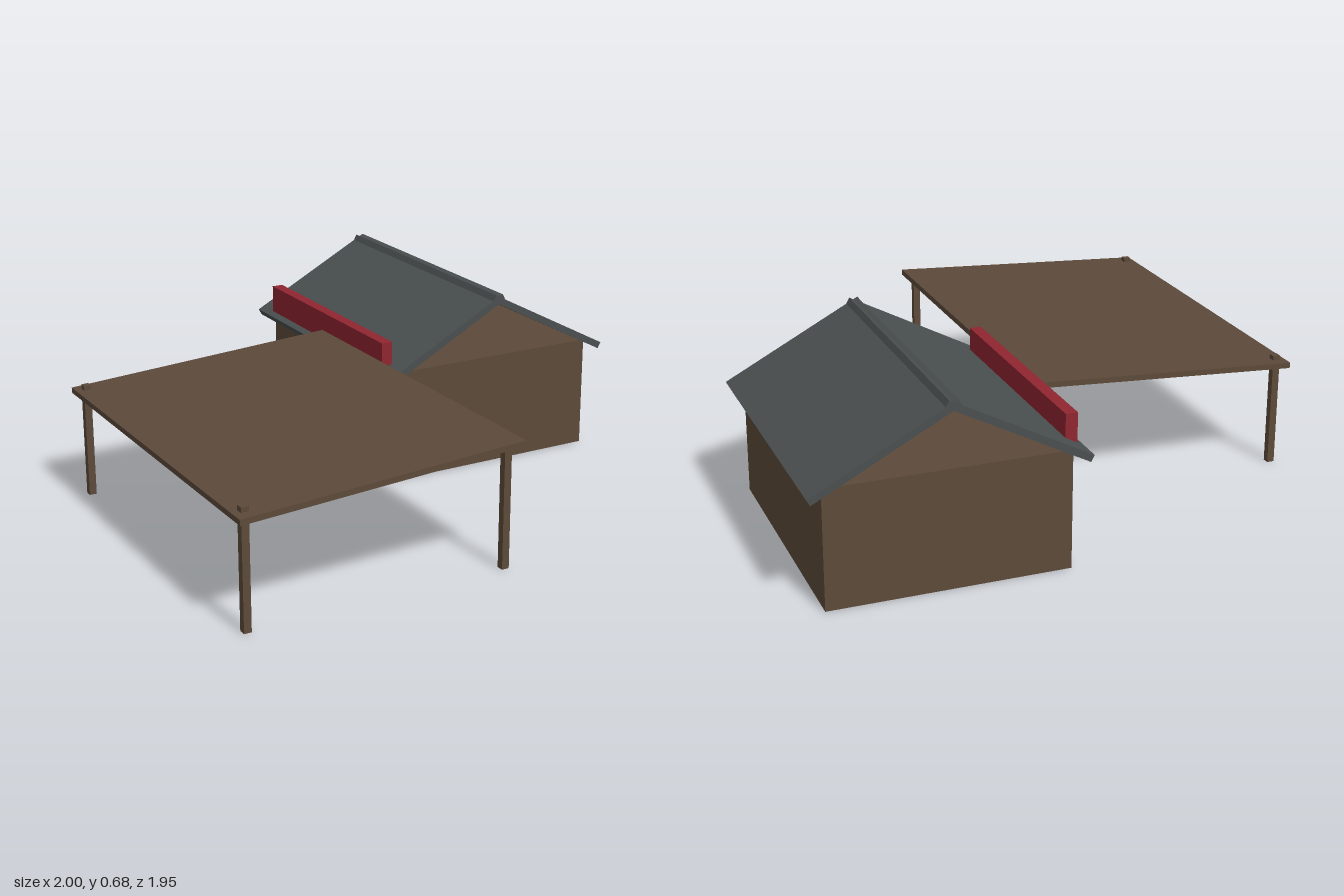
import * as THREE from 'three';

const mat = (name, color) => {
  const m = new THREE.MeshStandardMaterial({ color });
  m.name = name;
  return m;
};

export function createModel() {
  const root = new THREE.Group();
  root.name = 'houseWithCanopy';
  const wood = mat('brown wood', 0x5c4a3a);
  const slate = mat('slate grey', 0x4a4f50);
  const red = mat('sign red', 0x8f2530);
  const gold = mat('warm gold', 0xd0ae62);
  const dark = mat('dark bulb', 0x3a3028);

  const add = (name, geometry, material, x, y, z) => {
    const mesh = new THREE.Mesh(geometry, material);
    mesh.name = name;
    mesh.position.set(x, y, z);
    root.add(mesh);
    return mesh;
  };
  const box = (name, material, w, h, d, x, y, z) =>
    add(name, new THREE.BoxGeometry(w, h, d), material, x, y, z);

  // House body, open beneath the gables
  box('houseBody', wood, 0.85, 0.427, 1.0, 0.515, 0.2135, -0.44);

  // Two roof slabs crossing at the ridge
  const pitch = Math.atan2(0.262, 0.498);
  for (const side of [-1, 1]) {
    const slab = box(side < 0 ? 'roofRight' : 'roofLeft', slate,
      0.563, 0.026, 1.075, 0.515 + side * 0.228, 0.536, -0.4425);
    slab.rotation.z = -side * pitch;
  }

  // Long sign board along the eave
  box('signBoard', red, 0.043, 0.115, 0.9, 0.0755, 0.4775, -0.44);

  // Window on the canopy side
  box('window', gold, 0.018, 0.17, 0.25, 0.082, 0.245, -0.435);

  // Sloping canopy
  const canopy = box('canopyRoof', wood, 1.045, 0.021, 1.412, -0.478, 0.428, 0.267);
  canopy.rotation.z = Math.atan2(0.062, 1.043);

  // Canopy posts
  for (const x of [-0.962, 0.002])
    for (const z of [-0.39, 0.918])
      box('canopyPost', wood, 0.027, 0.427, 0.027, x, 0.2135, z);

  // Sagging row of bulbs between the outer posts
  const bulb = new THREE.SphereGeometry(0.009, 12, 8);
  const colours = [gold, gold, red, dark, red, gold, gold];
  colours.forEach((colour, i) => {
    const t = (i + 1) / 8;
    add('lightBulb', bulb, colour, -0.95, 0.385 - 0.016 * Math.sin(Math.PI * t), 0.918 - 1.308 * t);
  });

  return root;
}
